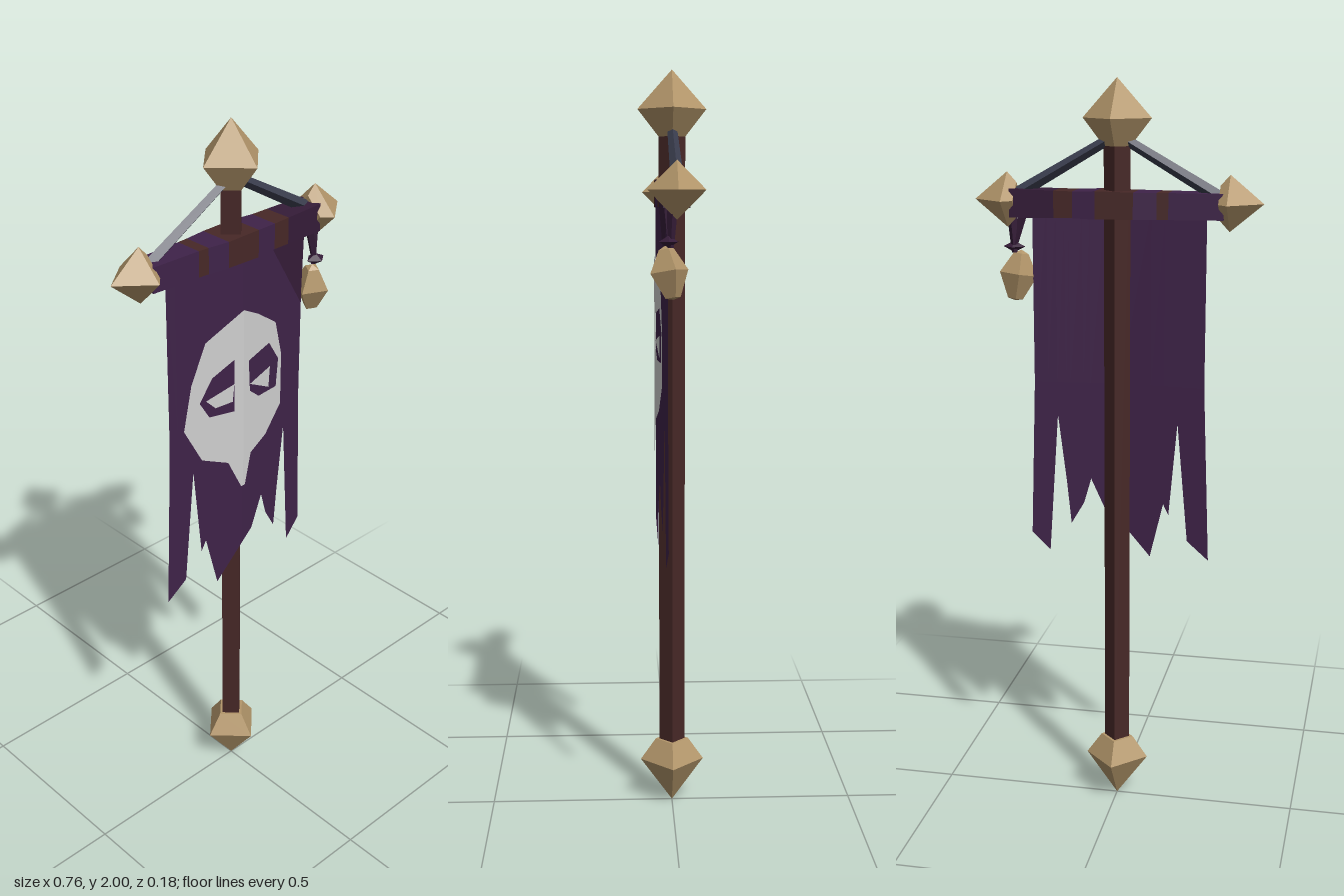
import * as THREE from 'three';

const mat = (name, color, side = THREE.FrontSide) =>
  Object.assign(new THREE.MeshStandardMaterial({ color, flatShading: true, side }), { name });

export function createModel() {
  const gold = mat('dull gold', 0xb4976b);
  const wood = mat('dark wood', 0x472827);
  const purple = mat('purple cloth', 0x3f2349, THREE.DoubleSide);
  const plum = mat('dark plum cloth', 0x351c38, THREE.DoubleSide);
  const rope = mat('slate rope', 0x3a3d4e);
  const pale = mat('pale paint', 0xd0d0d0, THREE.DoubleSide);

  const model = new THREE.Group();
  const add = (name, geometry, material, parent = model) => {
    const mesh = new THREE.Mesh(geometry, material);
    mesh.name = name;
    parent.add(mesh);
    return mesh;
  };
  const UP = new THREE.Vector3(0, 1, 0);
  // Four-sided rod between two points
  const rod = (name, a, b, ra, rb, material) => {
    const p = new THREE.Vector3(...a), q = new THREE.Vector3(...b);
    const mesh = add(name, new THREE.CylinderGeometry(rb, ra, p.distanceTo(q), 4), material);
    mesh.position.copy(p).add(q).multiplyScalar(0.5);
    mesh.quaternion.setFromUnitVectors(UP, q.sub(p).normalize());
    return mesh;
  };
  // Four-sided spike turned from a radius/height profile
  const spike = (name, profile) =>
    add(name, new THREE.LatheGeometry(profile.map(p => new THREE.Vector2(...p)), 4), gold);

  // Pole and end caps
  rod('pole', [0, 0.16, 0], [0, 1.85, 0], 0.035, 0.035, wood);
  spike('topFinial', [[0, 1.83], [0.035, 1.83], [0.09, 1.9], [0, 2]]);
  spike('bottomFinial', [[0, 0], [0.087, 0.12], [0.045, 0.18], [0, 0.18]]);
  for (const s of [1, -1]) {
    const cap = spike(s > 0 ? 'leftBarFinial' : 'rightBarFinial',
      [[0, -0.025], [0.045, -0.025], [0.072, 0], [0, 0.087]]);
    cap.position.set(s * 0.293, 1.69, 0);
    cap.rotation.z = -s * Math.PI / 2;
    // Brace rope from the bar end to the pole top
    rod('braceRope', [s * 0.275, 1.7, -0.003], [s * 0.015, 1.85, 0], 0.017, 0.013, rope);
  }

  // Crossbar wrapped in cloth, thicker towards the pole: [x, half height, half depth]
  const stations = [[-0.28, 0.033, 0.033], [-0.14, 0.034, 0.037], [-0.11, 0.034, 0.039],
    [-0.05, 0.034, 0.046], [0.05, 0.036, 0.046], [0.11, 0.034, 0.041],
    [0.16, 0.035, 0.039], [0.28, 0.037, 0.034]];
  const wraps = [purple, wood, purple, wood, purple, wood, plum];
  wraps.forEach((material, i) => {
    const [x0, h0, d0] = stations[i], [x1, h1, d1] = stations[i + 1];
    const g = new THREE.BoxGeometry(x1 - x0, 2, 2);
    const p = g.attributes.position;
    for (let k = 0; k < p.count; k++) {
      const right = p.getX(k) > 0;
      p.setY(k, p.getY(k) * (right ? h1 : h0));
      p.setZ(k, p.getZ(k) * (right ? d1 : d0));
    }
    g.computeVertexNormals();
    add('crossbarWrap', g, material).position.set((x0 + x1) / 2, 1.683, 0);
  });

  // Torn banner, folded softly over the pole: [x at top, x at hem, y of hem]
  const clothZ = x => 0.043 - 0.1 * Math.abs(x);
  const columns = [[-0.232, -0.25, 0.72], [-0.205, -0.19, 0.77], [-0.16, -0.16, 1.1],
    [-0.137, -0.137, 0.84], [-0.122, -0.122, 0.87], [-0.085, -0.085, 0.715],
    [0, 0, 0.81], [0.04, 0.04, 0.84], [0.08, 0.08, 0.93], [0.1, 0.1, 0.86],
    [0.135, 0.135, 0.8], [0.147, 0.147, 0.92], [0.17, 0.17, 1.11],
    [0.195, 0.195, 0.72], [0.232, 0.245, 0.77]];
  const verts = [], index = [];
  columns.forEach(([xt, xb, yb], i) => {
    for (const [x, y] of [[xt, 1.68], [xt, 1.2], [xb, yb]]) verts.push(x, y, clothZ(x));
    if (i) for (let r = 0; r < 2; r++) {
      const a = (i - 1) * 3 + r, b = i * 3 + r;
      index.push(a, a + 1, b + 1, a, b + 1, b);
    }
  });
  const cloth = new THREE.BufferGeometry();
  cloth.setAttribute('position', new THREE.Float32BufferAttribute(verts, 3));
  cloth.setIndex(index);
  cloth.computeVertexNormals();
  add('banner', cloth, purple);

  // Flat painted shapes that follow the banner
  const path = (pts, Type) => new Type(pts.map(p => new THREE.Vector2(...p)));
  const paint = (name, outline, holes, material, lift) => {
    const shape = path(outline, THREE.Shape);
    shape.holes = holes.map(h => path(h, THREE.Path));
    const g = new THREE.ShapeGeometry(shape);
    const p = g.attributes.position;
    for (let k = 0; k < p.count; k++) p.setZ(k, clothZ(p.getX(k)) + lift);
    g.computeVertexNormals();
    return add(name, g, material);
  };
  paint('emblemRightHalf',
    [[0, 1.52], [-0.12, 1.465], [-0.165, 1.36], [-0.19, 1.235], [-0.135, 1.13],
      [-0.05, 1.09], [-0.007, 1], [0, 1]],
    [[[-0.03, 1.39], [-0.1, 1.36], [-0.14, 1.3], [-0.11, 1.25], [-0.03, 1.24]]], pale, 0.004);
  paint('emblemLeftHalf',
    [[0, 1.52], [0.055, 1.49], [0.125, 1.44], [0.15, 1.34], [0.15, 1.19],
      [0.09, 1.12], [0.03, 1.09], [0.007, 1], [0, 1]],
    [[[0.02, 1.37], [0.1, 1.39], [0.138, 1.33], [0.13, 1.25], [0.06, 1.25], [0.025, 1.28]]],
    pale, 0.004);
  paint('emblemRightInset', [[-0.12, 1.3], [-0.03, 1.32], [-0.035, 1.27], [-0.09, 1.27]], [], pale, 0.004);
  paint('emblemLeftInset', [[0.025, 1.3], [0.105, 1.32], [0.1, 1.26]], [], pale, 0.004);

  // Loose fold at the banner's upper corner
  paint('cornerFold', [[0.1, 1.66], [0.225, 1.46], [0.232, 1.66]], [], plum, 0.005);

  // Hanging charm with its cords and knot
  rod('charmCord', [0.255, 1.66, 0.02], [0.283, 1.56, 0.015], 0.012, 0.008, plum);
  rod('charmCord', [0.285, 1.66, 0.01], [0.28, 1.55, 0.015], 0.014, 0.008, plum);
  const knot = add('charmKnot', new THREE.OctahedronGeometry(0.03), plum);
  knot.scale.set(1, 0.5, 0.8);
  knot.position.set(0.282, 1.565, 0.02);
  const charm = spike('charm', [[0, -0.065], [0.02, -0.06], [0.05, 0.005], [0.02, 0.06], [0, 0.07]]);
  charm.position.set(0.272, 1.487, 0.017);
  charm.rotation.set(0.1, 0.3, 0.12);

  return model;
}
